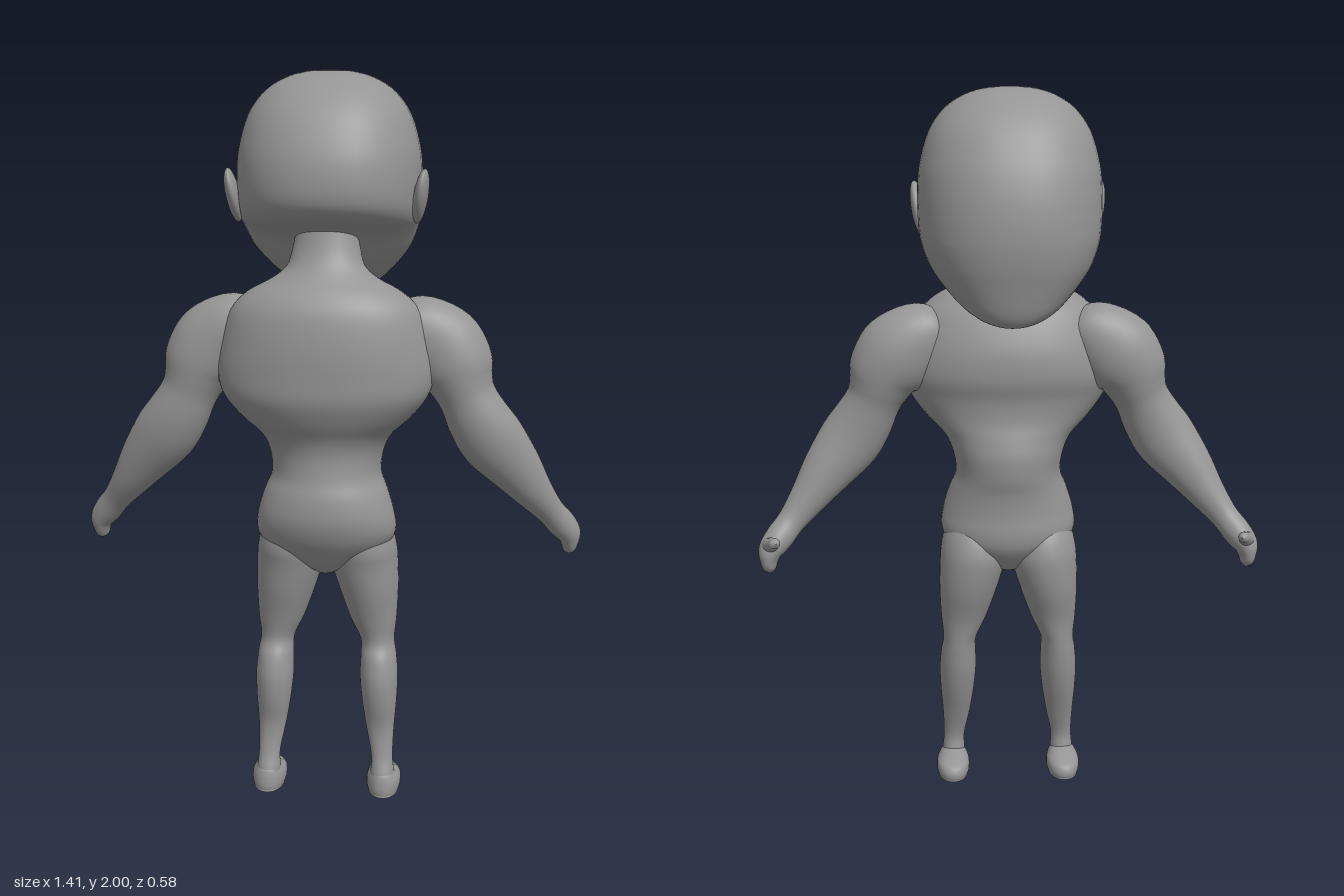
import * as THREE from 'three';

const material = new THREE.MeshStandardMaterial({ color: 0x959595 });

// Smooth interpolation of section rows
function smoothRows(rows, steps) {
  const out = [];
  const at = (i) => rows[Math.max(0, Math.min(rows.length - 1, i))];
  for (let i = 0; i < rows.length - 1; i++) {
    for (let s = 0; s < steps; s++) {
      const t = s / steps;
      out.push(rows[i].map((_, k) => {
        const p0 = at(i - 1)[k], p1 = at(i)[k], p2 = at(i + 1)[k], p3 = at(i + 2)[k];
        return 0.5 * (2 * p1 + (p2 - p0) * t + (2 * p0 - 5 * p1 + 4 * p2 - p3) * t * t
          + (3 * p1 - p0 - 3 * p2 + p3) * t * t * t);
      }));
    }
  }
  out.push(at(rows.length - 1));
  return out;
}

// Skin over sections [x, y, z, halfWidth, frontDepth, backDepth]; flat keeps sections level
function loft(name, rows, { power = 2, flat = true, sides = 40, steps = 4 } = {}) {
  const path = smoothRows(rows, steps);
  const centre = path.map((r) => new THREE.Vector3(r[0], r[1], r[2]));
  const pos = [], index = [];
  const last = path.length - 1;
  path.forEach((r, i) => {
    const T = centre[Math.min(i + 1, last)].clone().sub(centre[Math.max(i - 1, 0)]);
    if (flat) T.set(0, Math.sign(rows[rows.length - 1][1] - rows[0][1]), 0);
    T.normalize();
    const V = new THREE.Vector3(0, 0, 1).addScaledVector(T, -T.z).normalize();
    const U = V.clone().cross(T);
    for (let j = 0; j < sides; j++) {
      const a = (j / sides) * Math.PI * 2;
      const bend = (v) => Math.sign(v) * Math.abs(v) ** (2 / power);
      const depth = Math.sin(a) > 0 ? r[5] ?? r[4] : r[4];
      const p = centre[i].clone()
        .addScaledVector(U, bend(Math.cos(a)) * Math.max(r[3], 0.0005))
        .addScaledVector(V, bend(Math.sin(a)) * Math.max(depth, 0.0005));
      pos.push(p.x, p.y, p.z);
      if (i < last) {
        const n = (j + 1) % sides, b = i * sides, c = b + sides;
        index.push(b + j, b + n, c + j, b + n, c + n, c + j);
      }
    }
  });
  const g = new THREE.BufferGeometry();
  g.setAttribute('position', new THREE.Float32BufferAttribute(pos, 3));
  g.setIndex(index);
  g.computeVertexNormals();
  const mesh = new THREE.Mesh(g, material);
  mesh.name = name;
  return mesh;
}

// Level sections given by [y, xMin, xMax, zMin, zMax]
const level = (rows) => rows.map(([y, x0, x1, z0, z1]) =>
  [(x0 + x1) / 2, y, (z0 + z1) / 2, (x1 - x0) / 2, (z1 - z0) / 2]);
// Centred sections given by [y, halfWidth, zMin, zMax]
const centred = (rows) => level(rows.map(([y, w, z0, z1]) => [y, -w, w, z0, z1]));
const mirror = (rows, s) => rows.map(([x, ...rest]) => [x * s, ...rest]);

export function createModel() {
  const model = new THREE.Group();
  model.name = 'figure';

  // Head sections [y, halfWidth, zMin, zWidest, zMax]; the widest point drifts toward the chin
  model.add(loft('head', [
    [2.0, 0, 0.005, 0.005, 0.005], [1.996, 0.06, -0.055, 0.005, 0.065],
    [1.98, 0.117, -0.11, 0.005, 0.122], [1.945, 0.172, -0.16, 0.005, 0.18],
    [1.885, 0.215, -0.215, 0.003, 0.236], [1.8, 0.24, -0.26, 0, 0.277],
    [1.73, 0.246, -0.281, -0.005, 0.29], [1.675, 0.246, -0.289, -0.01, 0.286],
    [1.64, 0.244, -0.291, -0.016, 0.264], [1.615, 0.241, -0.291, -0.023, 0.222],
    [1.597, 0.237, -0.29, -0.03, 0.16], [1.57, 0.228, -0.287, -0.042, 0.105],
    [1.535, 0.212, -0.281, -0.06, 0.07], [1.5, 0.187, -0.272, -0.085, 0.04],
    [1.46, 0.152, -0.262, -0.115, -0.01], [1.428, 0.116, -0.253, -0.15, -0.075],
    [1.404, 0.073, -0.241, -0.185, -0.14], [1.392, 0.03, -0.226, -0.205, -0.185],
    [1.39, 0, -0.21, -0.21, -0.21],
  ].map(([y, w, z0, z, z1]) => [0, y, z, w, z - z0, z1 - z]), { power: 2.3, sides: 56 }));

  // Neck, chest, waist and pelvis in one skin
  model.add(loft('torso', centred([
    [1.66, 0.075, 0.02, 0.14], [1.6, 0.08, 0.02, 0.15], [1.54, 0.091, 0.025, 0.166],
    [1.5, 0.104, 0.032, 0.188], [1.47, 0.14, 0.033, 0.215],
    [1.435, 0.205, 0.012, 0.25], [1.385, 0.252, -0.022, 0.277], [1.3, 0.28, -0.053, 0.291],
    [1.22, 0.291, -0.056, 0.292], [1.16, 0.275, -0.04, 0.288], [1.1, 0.23, -0.038, 0.264],
    [1.05, 0.18, -0.05, 0.236], [1.0, 0.157, -0.06, 0.225], [0.94, 0.15, -0.056, 0.232],
    [0.89, 0.169, -0.044, 0.247], [0.83, 0.187, -0.04, 0.251], [0.775, 0.192, -0.043, 0.235],
    [0.73, 0.165, -0.035, 0.208], [0.685, 0.085, -0.005, 0.175], [0.655, 0.03, 0.03, 0.14],
    [0.648, 0, 0.09, 0.09],
  ]), { power: 2.05, sides: 48 }));

  for (const s of [1, -1]) {
    const side = s > 0 ? 'left' : 'right';
    const add = (name, rows, opts) => model.add(loft(side + name, mirror(rows, s), opts));

    // Shoulder, upper arm, forearm and palm in one skin
    add('Arm', [
      [0.17, 1.36, 0.085, 0, 0], [0.185, 1.355, 0.085, 0.05, 0.06],
      [0.235, 1.335, 0.08, 0.095, 0.085], [0.3, 1.285, 0.075, 0.117, 0.094],
      [0.342, 1.235, 0.078, 0.107, 0.093], [0.362, 1.19, 0.081, 0.088, 0.086],
      [0.38, 1.148, 0.084, 0.078, 0.079],
      [0.41, 1.09, 0.086, 0.085, 0.077], [0.45, 1.03, 0.08, 0.089, 0.072],
      [0.51, 0.955, 0.06, 0.074, 0.062], [0.565, 0.88, 0.037, 0.054, 0.05],
      [0.613, 0.818, 0.01, 0.04, 0.037], [0.645, 0.778, -0.013, 0.04, 0.042],
      [0.669, 0.745, -0.03, 0.035, 0.044], [0.674, 0.715, -0.036, 0.025, 0.038],
      [0.672, 0.692, -0.04, 0.017, 0.026], [0.67, 0.68, -0.042, 0, 0],
    ], { flat: false });

    add('Thumb', [
      [0.672, 0.755, -0.02, 0.028, 0.026], [0.666, 0.766, -0.055, 0.022, 0.022],
      [0.655, 0.779, -0.083, 0.016, 0.017], [0.647, 0.784, -0.101, 0.013, 0.014],
      [0.643, 0.786, -0.112, 0, 0],
    ], { flat: false, sides: 16 });

    add('Leg', level([
      [0.86, 0.08, 0.12, 0.06, 0.12], [0.82, 0.05, 0.155, 0.02, 0.16],
      [0.77, 0.022, 0.182, -0.018, 0.184], [0.725, 0.01, 0.194, -0.036, 0.188],
      [0.68, 0.009, 0.198, -0.04, 0.178],
      [0.6, 0.032, 0.2, -0.028, 0.162], [0.51, 0.064, 0.196, 0.0, 0.138],
      [0.445, 0.094, 0.19, 0.01, 0.128], [0.4, 0.096, 0.197, 0.015, 0.15],
      [0.34, 0.095, 0.202, 0.025, 0.162], [0.27, 0.102, 0.2, 0.045, 0.157],
      [0.19, 0.115, 0.194, 0.075, 0.142], [0.11, 0.131, 0.192, 0.1, 0.152],
      [0.06, 0.13, 0.197, 0.095, 0.17], [0.02, 0.13, 0.198, 0.095, 0.172],
    ]));

    // Foot with rounded toe and flat sole
    add('Foot', level([
      [0.075, 0.155, 0.175, 0.11, 0.14], [0.066, 0.136, 0.193, 0.085, 0.167],
      [0.052, 0.125, 0.205, 0.05, 0.174], [0.038, 0.118, 0.213, 0.022, 0.177],
      [0.018, 0.117, 0.214, 0.014, 0.179], [0.003, 0.121, 0.21, 0.018, 0.177],
      [0, 0.125, 0.206, 0.023, 0.174], [0, 0.165, 0.165, 0.095, 0.095],
    ]), { power: 2.2, steps: 3 });

    // Ear: flattened ball, narrower toward the lobe
    const ear = new THREE.SphereGeometry(1, 28, 20);
    const p = ear.attributes.position;
    for (let i = 0; i < p.count; i++) {
      const y = p.getY(i);
      p.setXYZ(i, p.getX(i) * 0.019, y * 0.077, p.getZ(i) * 0.046 * (1 + 0.15 * y));
    }
    ear.computeVertexNormals();
    const earMesh = new THREE.Mesh(ear, material);
    earMesh.name = side + 'Ear';
    earMesh.position.set(s * 0.246, 1.68, 0.1);
    earMesh.rotation.set(0.42, s * -0.15, s * -0.13);
    model.add(earMesh);
  }
  return model;
}
